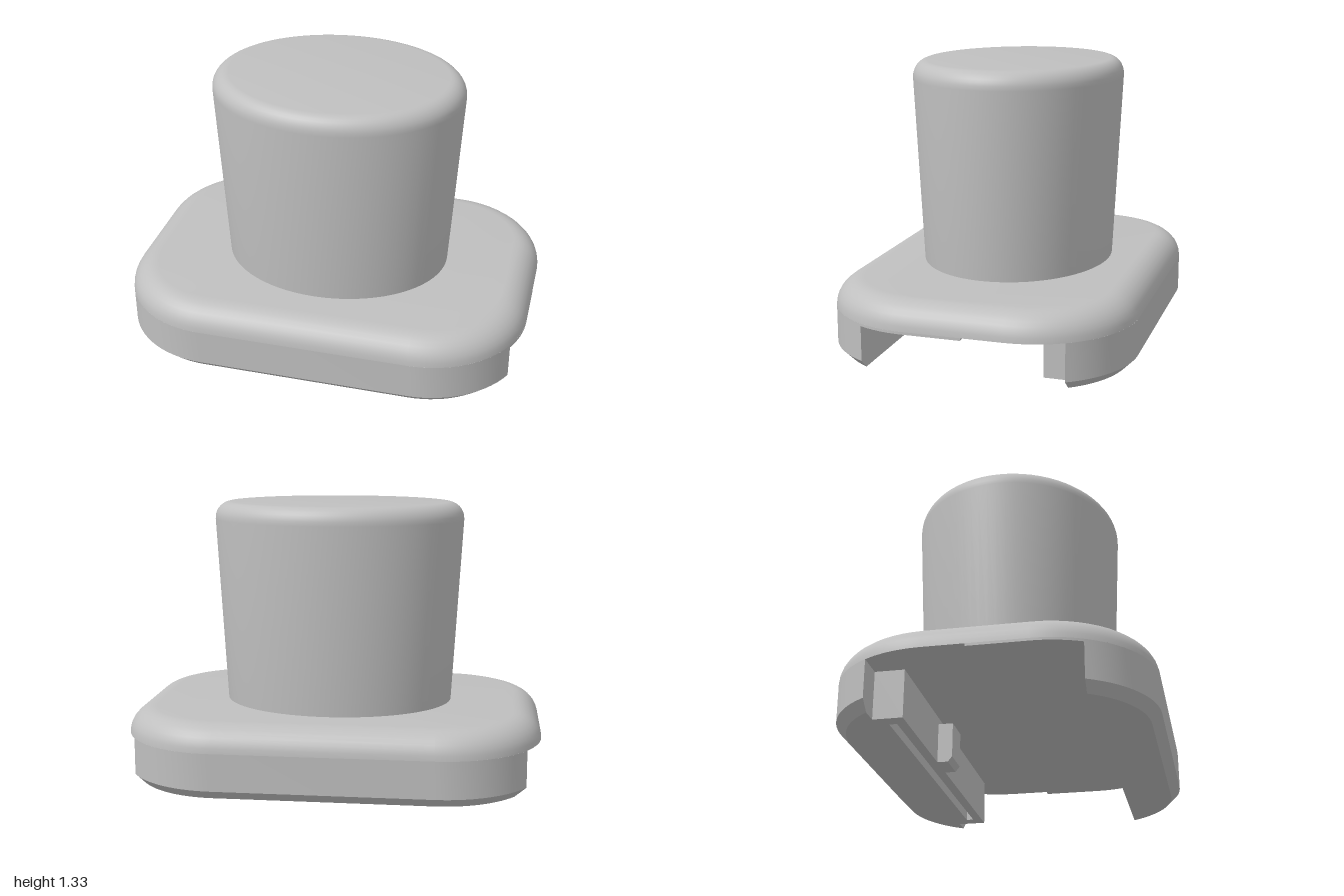
import * as THREE from 'three';
import { toCreasedNormals } from 'three/addons/utils/BufferGeometryUtils.js';

const CX = 0.51, CZ = 0.232, R = 0.49; // corner centre and radius of the base outline
const STEPS = 14;

// Corner arc points [x, z] of the outline, between two angles
function arc(inset, a0, a1) {
  const r = R - inset, pts = [];
  for (let i = 0; i <= STEPS; i++) {
    const a = a0 + (a1 - a0) * i / STEPS;
    pts.push([CX + r * Math.cos(a), CZ + r * Math.sin(a)]);
  }
  return pts;
}
const mirrorX = pts => pts.map(([x, z]) => [-x, z]).reverse();
const mirrorZ = pts => pts.map(([x, z]) => [x, -z]).reverse();

// Whole rounded rectangle
function fullRing(inset) {
  const right = arc(inset, 0, Math.PI / 2);
  const front = [...right, ...mirrorX(right)];
  return [...front, ...mirrorZ(front)];
}
// Part of the outline in front of a cutting line at z
function railRing(inset, z) {
  const right = arc(inset, Math.asin((z - CZ) / (R - inset)), Math.PI / 2);
  return [...right, ...mirrorX(right)];
}

// Closed solid through convex rings, listed from bottom to top
function loft(levels) {
  const n = levels[0].ring.length, pos = [], idx = [];
  levels.forEach(({ y, ring }) => ring.forEach(([x, z]) => pos.push(x, y, z)));
  for (let i = 0; i < levels.length - 1; i++) {
    for (let j = 0; j < n; j++) {
      const k = (j + 1) % n, a = i * n + j, b = i * n + k;
      idx.push(a, a + n, b + n, a, b + n, b);
    }
  }
  const t = (levels.length - 1) * n;
  for (let j = 1; j < n - 1; j++) idx.push(0, j, j + 1, t, t + j + 1, t + j);
  const g = new THREE.BufferGeometry();
  g.setAttribute('position', new THREE.Float32BufferAttribute(pos, 3));
  g.setIndex(idx);
  return toCreasedNormals(g, 0.6);
}

export function createModel() {
  const group = new THREE.Group();
  const grey = new THREE.MeshStandardMaterial({ color: 0xbfbfbf });
  grey.name = 'grey';
  const add = (name, geometry) => {
    const mesh = new THREE.Mesh(geometry, grey);
    mesh.name = name;
    group.add(mesh);
    return mesh;
  };

  // Base plate with a rounded upper edge
  const levels = [{ y: 0.222, ring: fullRing(0) }];
  for (let i = 1; i <= 8; i++) {
    const a = i / 8 * Math.PI / 2;
    levels.push({ y: 0.222 + 0.123 * Math.sin(a), ring: fullRing(0.13 * (1 - Math.cos(a))) });
  }
  add('basePlate', loft(levels));

  // Slightly lower front half of the channel ceiling
  const side = [[CX + R, -0.04], ...arc(0, 0, Math.asin((0.45 - CZ) / R))];
  const step = [...side, ...mirrorX(side)];
  add('channelCeiling', loft([{ y: 0.21, ring: step }, { y: 0.222, ring: step }]));

  // Front and back rails, chamfered along the outer bottom edge
  const rail = z => loft([
    { y: 0, ring: railRing(0.045, z) },
    { y: 0.045, ring: railRing(0, z) },
    { y: 0.222, ring: railRing(0, z) },
  ]);
  add('frontRail', rail(0.45));
  add('backRail', rail(0.49)).rotation.y = Math.PI;

  // Inner strip of the back rail with a long slot
  const rect = (S, x, z0, z1) => new S([
    new THREE.Vector2(-x, z0), new THREE.Vector2(x, z0),
    new THREE.Vector2(x, z1), new THREE.Vector2(-x, z1)]);
  const strip = rect(THREE.Shape, 0.79, -0.49, -0.355);
  strip.holes.push(rect(THREE.Path, 0.72, -0.435, -0.4));
  const stripGeo = new THREE.ExtrudeGeometry(strip, { depth: 0.222, bevelEnabled: false });
  stripGeo.rotateX(Math.PI / 2).translate(0, 0.222, 0);
  add('springStrip', stripGeo);

  // Small latch facing the channel
  const profile = new THREE.Shape([[-0.36, 0], [-0.305, 0], [-0.285, 0.025], [-0.285, 0.19], [-0.36, 0.19]]
    .map(p => new THREE.Vector2(...p)));
  const latch = new THREE.ExtrudeGeometry(profile, { depth: 0.15, bevelEnabled: false });
  latch.rotateY(-Math.PI / 2).translate(-0.06, 0, 0);
  add('latch', latch);

  // Oval crown, widening upwards to a rounded rim
  const pts = [new THREE.Vector2(0.559, 0.34), new THREE.Vector2(0.612, 1.24)];
  for (let i = 1; i <= 8; i++) {
    const a = i / 8 * Math.PI / 2;
    pts.push(new THREE.Vector2(0.532 + 0.08 * Math.cos(a), 1.245 + 0.08 * Math.sin(a)));
  }
  pts.push(new THREE.Vector2(0, 1.325));
  const crown = new THREE.LatheGeometry(pts, 72);
  crown.scale(1, 1, 0.825);
  add('crown', toCreasedNormals(crown, 0.6));

  return group;
}
